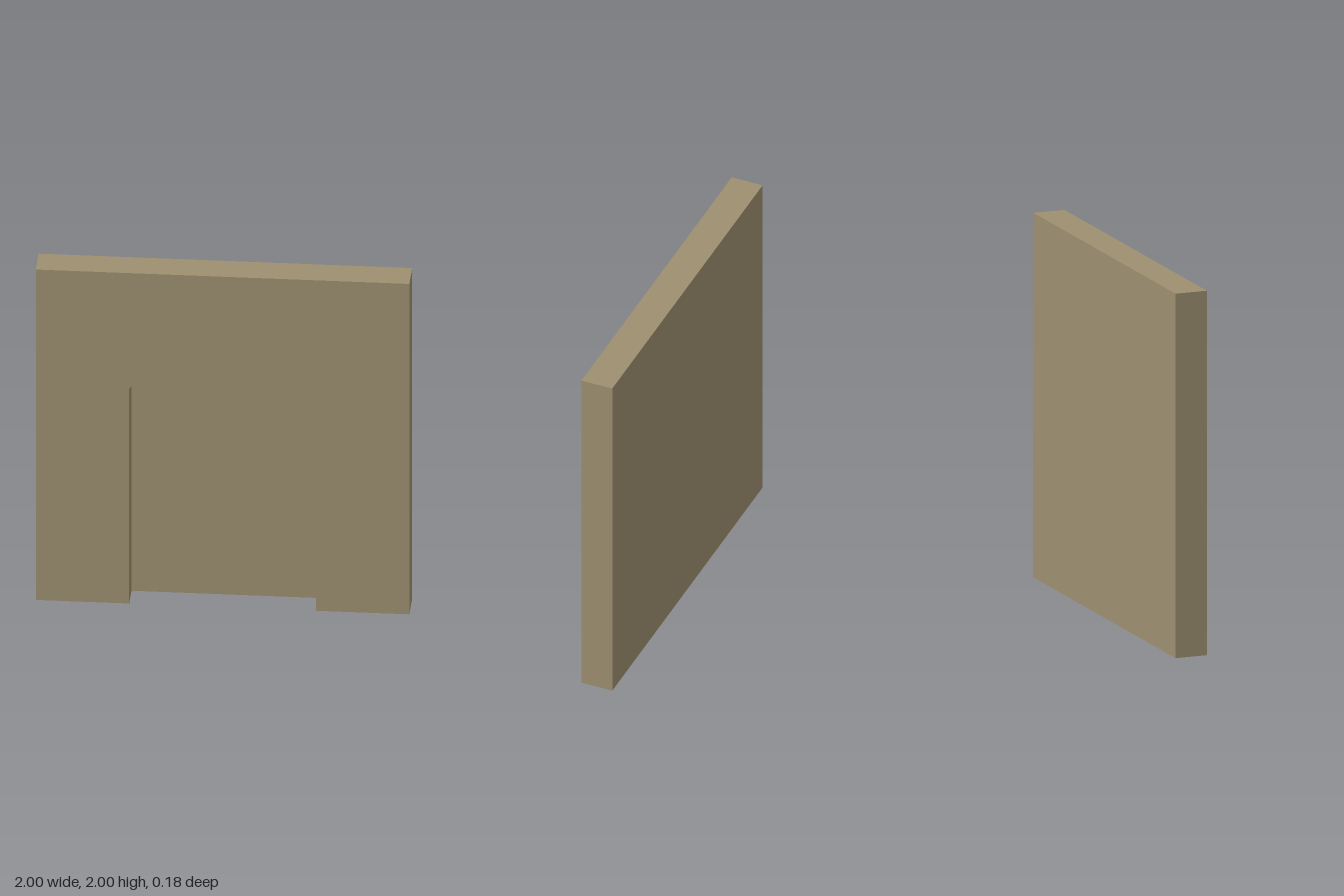
import * as THREE from 'three';

const WIDTH = 2, HEIGHT = 2, DEPTH = 0.18;
const RECESS = 0.145; // depth of the arched niche
const BACK = DEPTH - RECESS;

export function createModel() {
  const group = new THREE.Group();
  group.name = 'archedWall';
  const stone = new THREE.MeshStandardMaterial({ color: 0x9d8f70 });
  stone.name = 'sandstone';

  // Front wall: square outline notched by a pointed, faceted arch
  const half = [[0.5, 0], [0.5, 1.3], [0.28, 1.63]];
  const arch = [
    ...half.map(([x, y]) => [-x, y]),
    [0, 1.85],
    ...half.slice().reverse(),
  ];
  const outline = [
    [-WIDTH / 2, 0], ...arch, [WIDTH / 2, 0],
    [WIDTH / 2, HEIGHT], [-WIDTH / 2, HEIGHT],
  ].map(([x, y]) => new THREE.Vector2(x, y));
  const frontGeometry = new THREE.ExtrudeGeometry(new THREE.Shape(outline), {
    depth: RECESS, bevelEnabled: false,
  });
  const front = new THREE.Mesh(frontGeometry, stone);
  front.name = 'archFrame';
  front.position.z = -DEPTH / 2 + BACK;
  group.add(front);

  // Thin solid panel closing the back of the niche
  const panel = new THREE.Mesh(new THREE.BoxGeometry(WIDTH, HEIGHT, BACK), stone);
  panel.name = 'backPanel';
  panel.position.set(0, HEIGHT / 2, -DEPTH / 2 + BACK / 2);
  group.add(panel);

  return group;
}
